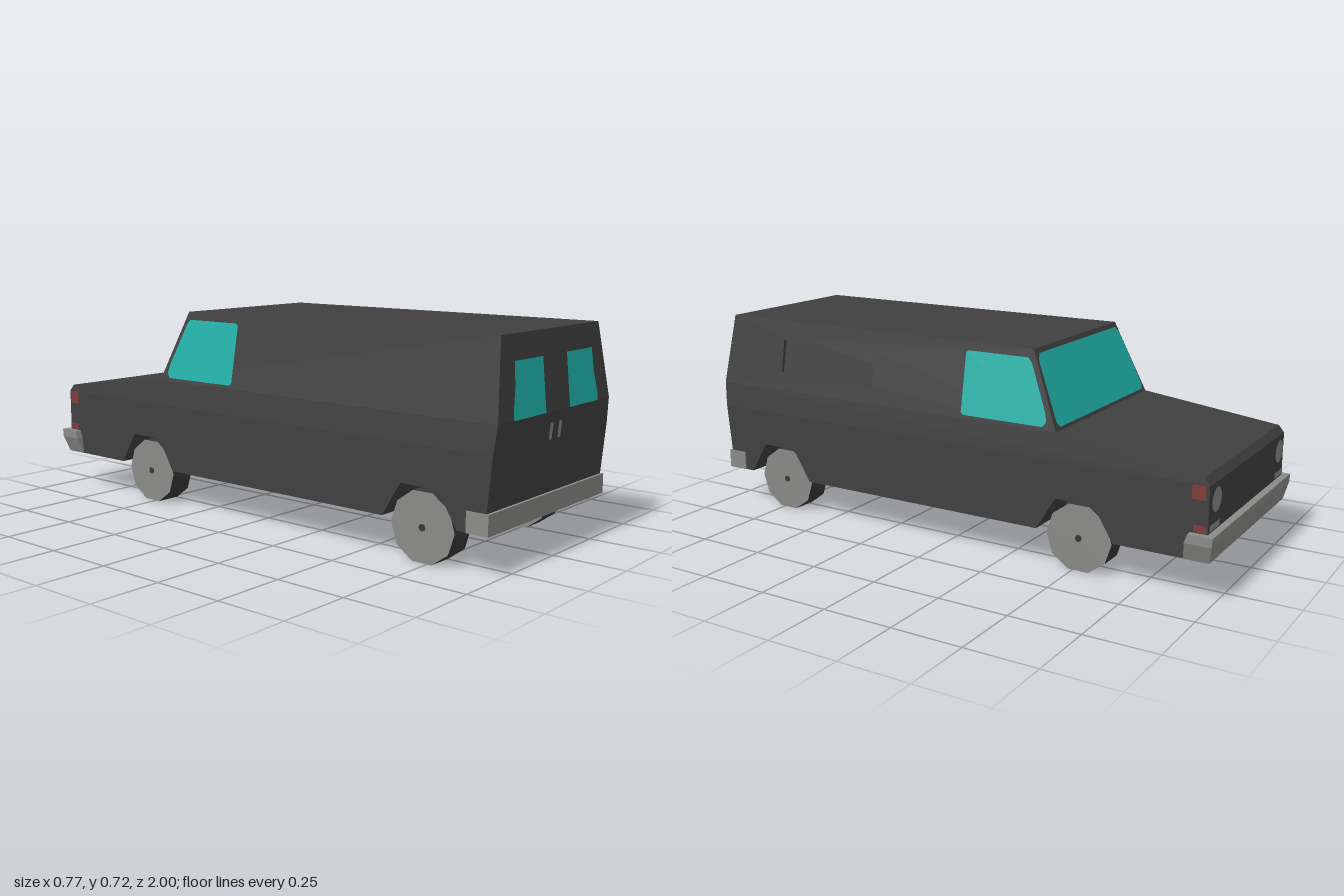
import * as THREE from 'three';

const mat = (name, color) => {
  const m = new THREE.MeshStandardMaterial({ color, side: THREE.DoubleSide });
  m.name = name;
  return m;
};

export function createModel() {
  const van = new THREE.Group();
  van.name = 'van';
  const paint = mat('charcoal paint', 0x404040);
  const rubber = mat('tyre rubber', 0x383838);
  const glass = mat('teal glass', 0x20b2aa);
  const metal = mat('grey metal', 0x8a8a88);
  const red = mat('red marker', 0x803c3c);

  const add = (name, geometry, material, parent = van) => {
    const mesh = new THREE.Mesh(geometry, material);
    mesh.name = name;
    parent.add(mesh);
    return mesh;
  };
  const lerp = THREE.MathUtils.lerp;

  // Half width of the body at a height: upright below, tapering to the roof
  const half = (y) => {
    if (y <= 0.38) return 0.361;
    if (y <= 0.47) return lerp(0.361, 0.352, (y - 0.38) / 0.09);
    return lerp(0.352, 0.305, (y - 0.47) / 0.255);
  };
  // Depth of the rear doors and of the windscreen at a height
  const rearZ = (y) => y <= 0.47
    ? lerp(0.967, 0.998, (y - 0.135) / 0.335)
    : lerp(0.998, 0.972, (y - 0.47) / 0.255);
  const screenZ = (y) => lerp(-0.445, -0.335, (y - 0.47) / 0.255);

  // Side profile of [z, y] points, spread between two x positions that depend on height
  function slab(points, inner, outer, hole) {
    const toV = ([z, y]) => new THREE.Vector2(-z, y);
    const shape = new THREE.Shape(points.map(toV));
    if (hole) shape.holes.push(new THREE.Path(hole.map(toV)));
    const g = new THREE.ExtrudeGeometry(shape, { depth: 1, bevelEnabled: false });
    const p = g.attributes.position;
    for (let i = 0; i < p.count; i++) {
      const y = p.getY(i);
      p.setXYZ(i, p.getZ(i) > 0.5 ? outer(y) : inner(y), y, -p.getX(i));
    }
    g.computeVertexNormals();
    return g;
  }

  // Thin flat panel: 2D outline placed on a body surface
  function plate(points, place) {
    const g = new THREE.ShapeGeometry(new THREE.Shape(points.map(([a, b]) => new THREE.Vector2(a, b))));
    const p = g.attributes.position;
    for (let i = 0; i < p.count; i++) p.setXYZ(i, ...place(p.getX(i), p.getY(i)));
    g.computeVertexNormals();
    return g;
  }
  const rect = (a, b, c, d) => [[a, c], [b, c], [b, d], [a, d]];

  // Lower body: plain centre, outer slabs with wheel arches
  const wheelZ = [-0.52, 0.73];
  const top = [[rearZ(0.38), 0.38], [-0.975, 0.38]];
  const arches = wheelZ.flatMap((z) => [
    [z - 0.14, 0.135], [z - 0.07, 0.25], [z + 0.07, 0.25], [z + 0.14, 0.135],
  ]);
  const plain = [...top, [-0.975, 0.135], [rearZ(0.135), 0.135]];
  const arched = [...top, [-0.975, 0.135], ...arches, [rearZ(0.135), 0.135]];
  add('lowerBodyCentre', slab(plain, () => -0.2, () => 0.2), paint);
  add('lowerBodyRight', slab(arched, (y) => -half(y), () => -0.2), paint);
  add('lowerBodyLeft', slab(arched, () => 0.2, half), paint);

  // Waist with the sloping bonnet
  add('waistAndBonnet', slab([
    [rearZ(0.38), 0.38], [rearZ(0.47), 0.47], [-0.445, 0.47], [-0.955, 0.405], [-0.975, 0.38],
  ], (y) => -half(y), half), paint);

  // Cabin, with a recessed panel on one side
  const cabin = [[rearZ(0.47), 0.47], [rearZ(0.725), 0.725], [-0.335, 0.725], [-0.445, 0.47]];
  const skin = (y) => half(y) - 0.012;
  add('cabin', slab(cabin, (y) => -half(y), skin), paint);
  add('cabinSideSkin', slab(cabin, skin, half, rect(0.3, 0.72, 0.535, 0.655)), paint);

  // Windscreen
  add('windscreen', plate([
    [-0.32, 0.482], [0.32, 0.482], [0.333, 0.5], [0.305, 0.69], [0.285, 0.71],
    [-0.285, 0.71], [-0.305, 0.69], [-0.333, 0.5],
  ], (x, y) => [x, y, screenZ(y) - 0.004]), glass);

  for (const s of [1, -1]) {
    const side = s > 0 ? 'left' : 'right';
    const onSide = (z, y) => [s * (half(y) + 0.003), y, z];
    const onRear = (x, y) => [s * x, y, rearZ(y) + 0.003];
    const onNose = (x, y) => [s * x, y, -0.978];

    add(side + 'SideWindow', plate([
      [-0.08, 0.49], [-0.09, 0.482], [-0.395, 0.482], [-0.408, 0.5], [-0.4, 0.53],
      [-0.335, 0.68], [-0.32, 0.697], [-0.09, 0.697], [-0.08, 0.69],
    ], onSide), glass);
    add(side + 'RearWindow', plate([
      [0.075, 0.47], [0.265, 0.47], [0.267, 0.49], [0.248, 0.57], [0.243, 0.645], [0.075, 0.645],
    ], onRear), glass);
    add(side + 'DoorHandle', plate(
      s > 0 ? rect(0.015, 0.033, 0.38, 0.435) : rect(0.022, 0.04, 0.38, 0.435), onRear), metal);

    // Lamps
    const lamp = new THREE.CircleGeometry(0.04, 16).rotateY(Math.PI);
    add(side + 'Headlamp', lamp, metal).position.set(s * 0.305, 0.325, -0.979);
    add(side + 'LowerLamp', plate(rect(0.27, 0.355, 0.232, 0.252), onNose), metal);
    add(side + 'UpperMarker', plate(rect(-0.965, -0.92, 0.333, 0.38), onSide), red);
    add(side + 'LowerMarker', plate(rect(-0.97, -0.928, 0.228, 0.252), onSide), red);
  }

  // Bumpers
  add('rearBumper', new THREE.BoxGeometry(0.732, 0.068, 0.078), metal).position.set(0, 0.169, 0.944);
  const bumperEnd = (y) => lerp(0.363, 0.385, Math.min(1, (y - 0.135) / 0.06));
  for (const [name, pts] of [
    ['frontBumperLower', [[-0.9, 0.135], [-0.985, 0.135], [-0.998, 0.195], [-0.908, 0.195]]],
    ['frontBumperUpper', [[-0.908, 0.195], [-0.998, 0.195], [-1, 0.225], [-0.918, 0.225]]],
  ]) add(name, slab(pts, (y) => -bumperEnd(y), bumperEnd), metal);

  // Wheels with grey discs and dark hubs
  for (const z of wheelZ) {
    for (const s of [1, -1]) {
      const wheel = new THREE.Group();
      wheel.name = (z < 0 ? 'bonnetEnd' : 'doorEnd') + (s > 0 ? 'LeftWheel' : 'RightWheel');
      wheel.position.set(s * 0.286 - 0.007, 0.115, z);
      add('tyreAndDisc', new THREE.CylinderGeometry(0.12, 0.12, 0.092, 10).rotateZ(Math.PI / 2),
        [rubber, metal, metal], wheel);
      add('hub', new THREE.CylinderGeometry(0.012, 0.012, 0.098, 8).rotateZ(Math.PI / 2), rubber, wheel);
      van.add(wheel);
    }
  }
  return van;
}
